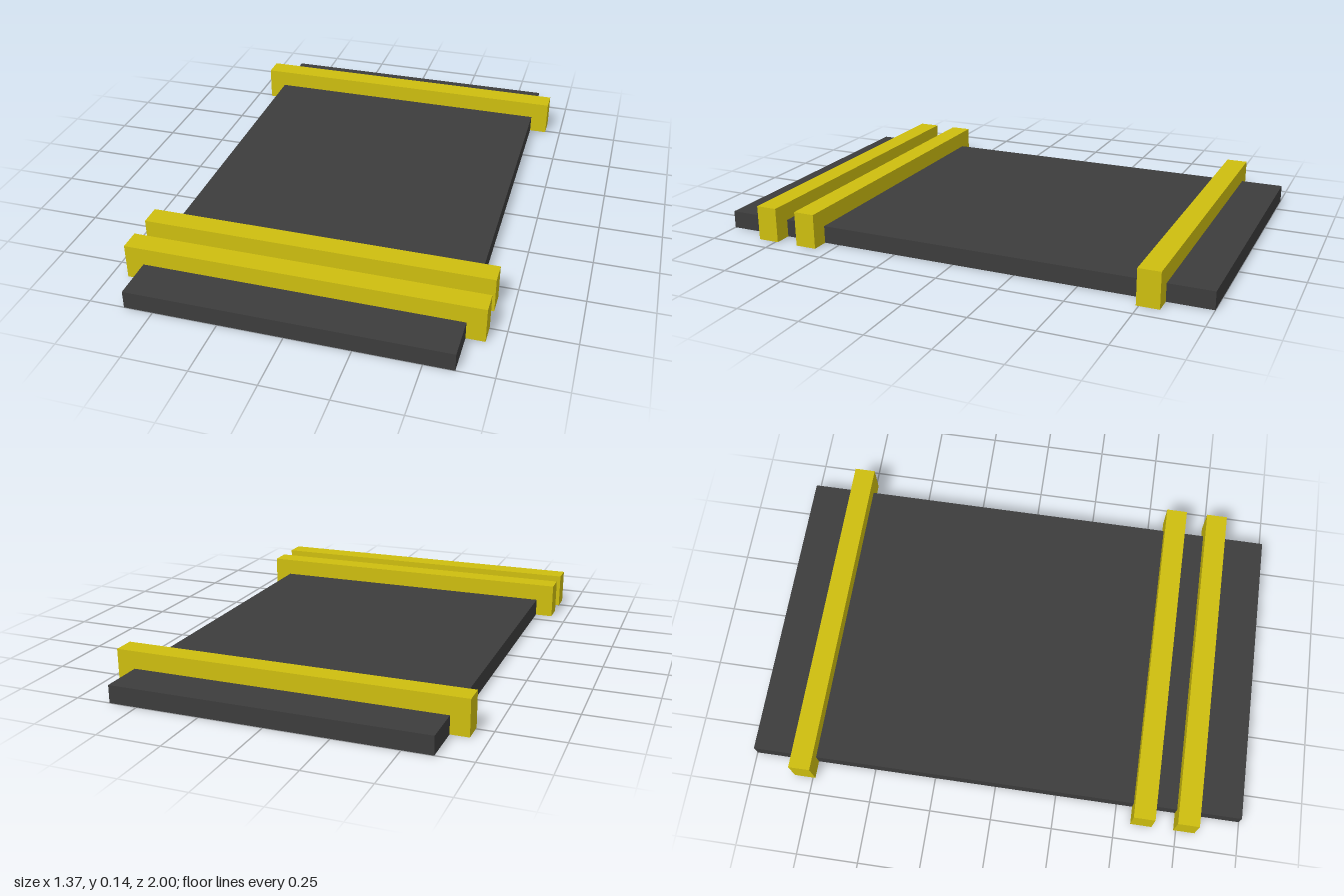
import * as THREE from 'three';

const SLAB = { halfWidth: 0.613, height: 0.07, length: 2 };
const STRAP = { halfWidth: 0.684, height: 0.14, depth: 0.086 };

export function createModel() {
  const model = new THREE.Group();
  model.name = 'strappedSlab';

  const darkGrey = new THREE.MeshStandardMaterial({ color: 0x3c3c3c });
  darkGrey.name = 'darkGrey';
  const yellow = new THREE.MeshStandardMaterial({ color: 0xcebe0f });
  yellow.name = 'yellow';

  // Flat base slab
  const slab = new THREE.Mesh(
    new THREE.BoxGeometry(SLAB.halfWidth * 2, SLAB.height, SLAB.length), darkGrey);
  slab.name = 'slab';
  slab.position.y = SLAB.height / 2;
  model.add(slab);

  // Bracket profile: a bar over the slab with an end leg down each side
  const { halfWidth: w, height: h, depth } = STRAP;
  const profile = new THREE.Shape([
    [-w, 0], [-SLAB.halfWidth, 0], [-SLAB.halfWidth, SLAB.height],
    [SLAB.halfWidth, SLAB.height], [SLAB.halfWidth, 0], [w, 0], [w, h], [-w, h],
  ].map(([x, y]) => new THREE.Vector2(x, y)));
  const strapGeometry = new THREE.ExtrudeGeometry(profile, { depth, bevelEnabled: false });
  strapGeometry.translate(0, 0, -depth / 2);

  // Two straps near the front, one near the back
  const straps = { frontStrap: 0.783, innerStrap: 0.608, backStrap: -0.783 };
  for (const [name, z] of Object.entries(straps)) {
    const strap = new THREE.Mesh(strapGeometry, yellow);
    strap.name = name;
    strap.position.z = z;
    model.add(strap);
  }
  return model;
}
